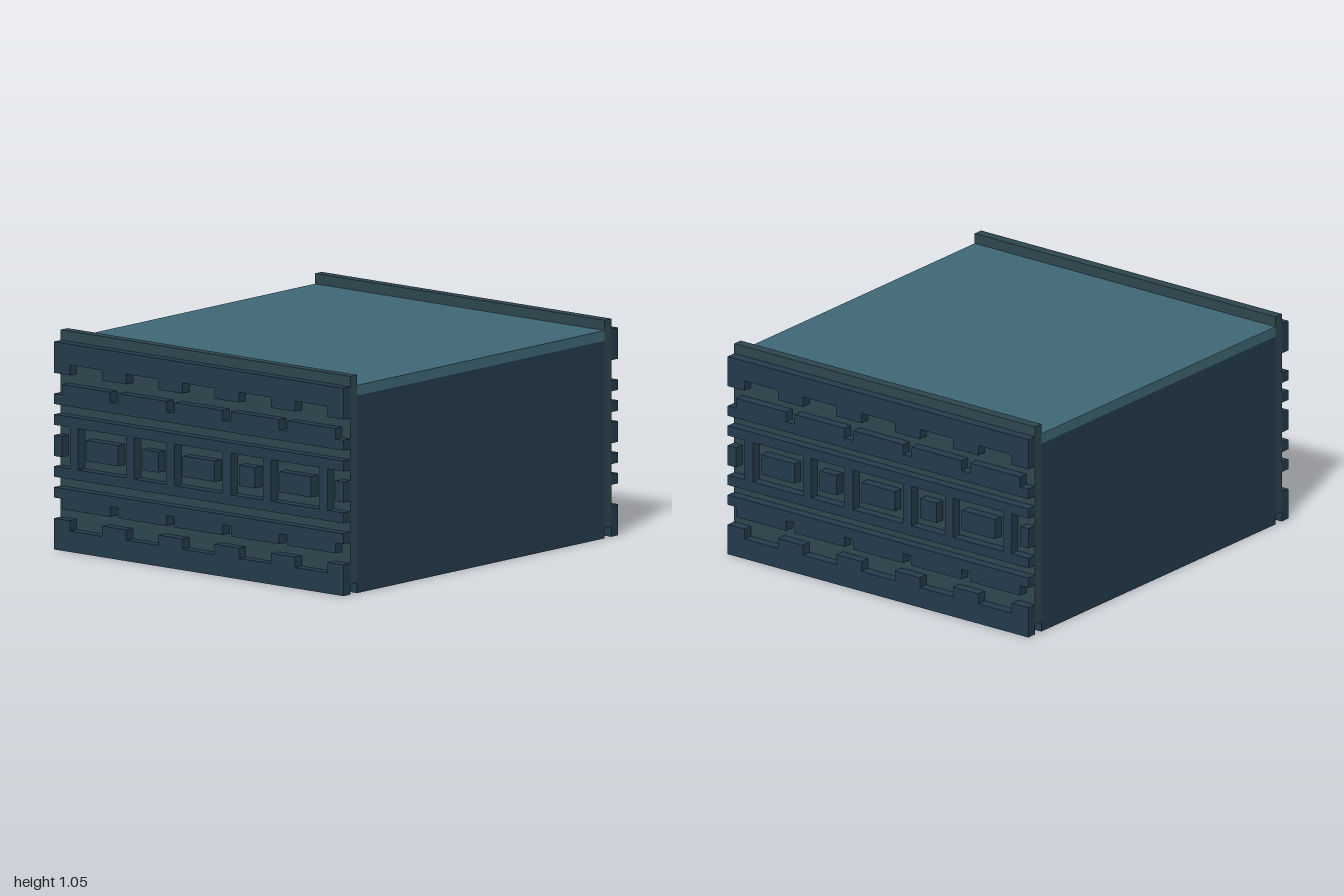
import * as THREE from 'three';

const HALF = 0.9;      // half depth of the box
const RELIEF = 0.05;   // thickness of panels and relief
const blue = new THREE.MeshStandardMaterial({ color: 0x243b4c });
const grey = new THREE.MeshStandardMaterial({ color: 0x2e464f });
const teal = new THREE.MeshStandardMaterial({ color: 0x3e6875 });

function box(name, material, size, position) {
  const mesh = new THREE.Mesh(new THREE.BoxGeometry(...size), material);
  mesh.name = name;
  mesh.position.set(...position);
  return mesh;
}

const toPoints = (pairs) => pairs.map(([u, v]) => new THREE.Vector2(u, v));
const rect = (u0, u1, v0, v1) => toPoints([[u0, v0], [u1, v0], [u1, v1], [u0, v1]]);

// Band with a straight edge and a stepped edge; tabs are [start, end] along the depth
function toothedBand(straight, root, tip, tabs) {
  const pairs = [[-HALF, straight], [-HALF, root]];
  for (const [a, b] of tabs) pairs.push([a, root], [a, tip], [b, tip], [b, root]);
  pairs.push([HALF, root], [HALF, straight]);
  // drop repeated corners where a tab reaches the end of the band
  const clean = pairs.filter((p, i) => {
    const same = (q) => q && q[0] === p[0] && q[1] === p[1];
    return !same(pairs[i - 1]) && !same(pairs[i + 1]);
  });
  return new THREE.Shape(toPoints(clean));
}

const wideTabs = [[-0.9, -0.8], [-0.6, -0.45], [-0.25, -0.1], [0.1, 0.25], [0.45, 0.6], [0.8, 0.9]];
const longTabs = [-0.7, -0.35, 0, 0.35, 0.7].map((c) => [c - 0.15, c + 0.15]);

// Windows of the middle frame: [centre, half width]
const windows = [[-0.6, 0.15], [-0.3, 0.1], [0, 0.15], [0.3, 0.1], [0.6, 0.15]];

function windowFrame() {
  const shape = new THREE.Shape(toPoints([
    [-0.9, 0.35], [0.9, 0.35], [0.9, 0.4], [0.8, 0.4], [0.8, 0.6], [0.9, 0.6],
    [0.9, 0.65], [-0.9, 0.65], [-0.9, 0.6], [-0.8, 0.6], [-0.8, 0.4], [-0.9, 0.4],
  ]));
  for (const [c, w] of windows) shape.holes.push(new THREE.Path(rect(c - w, c + w, 0.4, 0.6)));
  return shape;
}

function createSide(side) {
  const group = new THREE.Group();
  group.name = side > 0 ? 'leftSide' : 'rightSide';

  // Backing panel, rising above the lid as a rail
  group.add(box('sidePanel', grey, [RELIEF, 1, 2 * HALF], [side * 0.925, 0.55, 0]));

  // Relief cut from flat outlines, standing out from the panel
  const addRelief = (name, shape) => {
    const geometry = new THREE.ExtrudeGeometry(shape, { depth: RELIEF, bevelEnabled: false });
    geometry.rotateY(Math.PI / 2);
    geometry.translate(side > 0 ? 0.95 : -1, 0, 0);
    const mesh = new THREE.Mesh(geometry, blue);
    mesh.name = name;
    group.add(mesh);
  };
  addRelief('upperEdgeBand', toothedBand(1, 0.9, 0.85, wideTabs));
  addRelief('upperNotchedBand', toothedBand(0.7, 0.75, 0.8, longTabs));
  addRelief('windowFrame', windowFrame());
  addRelief('lowerNotchedBand', toothedBand(0.3, 0.25, 0.2, longTabs));
  addRelief('lowerEdgeBand', toothedBand(0, 0.1, 0.15, wideTabs));

  // Raised blocks inside the windows, with half blocks at the ends
  const blocks = windows.map(([c, w]) => [c, 2 * w - 0.1]);
  blocks.push([-0.875, 0.05], [0.875, 0.05]);
  for (const [c, length] of blocks) {
    group.add(box('windowBlock', blue, [RELIEF, 0.1, length], [side * 0.975, 0.5, c]));
  }
  return group;
}

export function createModel() {
  const model = new THREE.Group();
  model.name = 'reliefBox';
  model.add(box('body', blue, [1.8, 0.95, 2 * HALF], [0, 0.475, 0]));
  model.add(box('lid', teal, [1.8, 0.05, 2 * HALF], [0, 0.975, 0]));
  for (const side of [1, -1]) model.add(createSide(side));
  return model;
}
